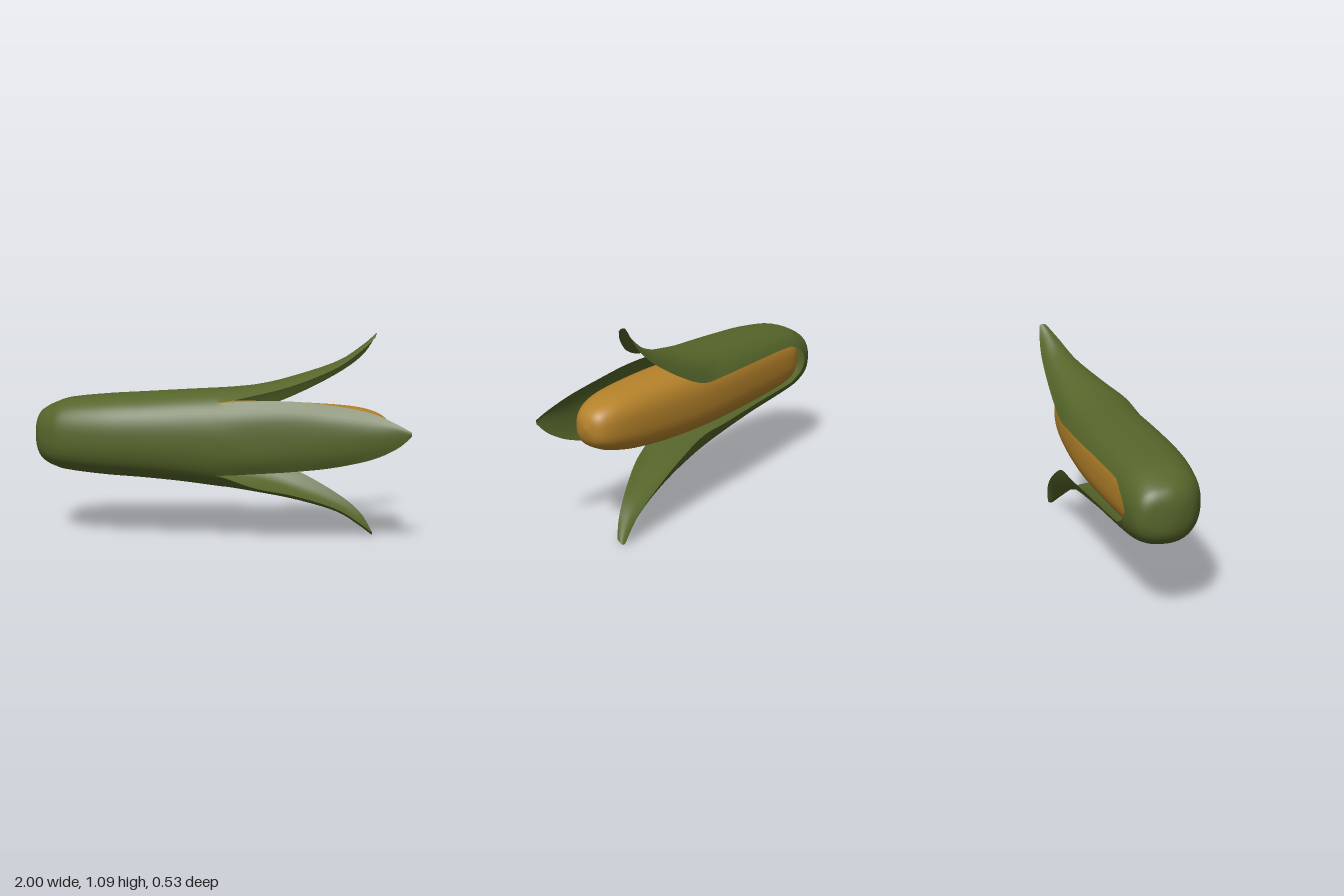
import * as THREE from 'three';
import { mergeGeometries, mergeVertices } from 'three/addons/utils/BufferGeometryUtils.js';

// Catmull-Rom through equally long rows of numbers, u counted in rows
function spline(rows, u) {
  const last = rows.length - 1;
  const i = Math.min(Math.floor(u), last - 1), t = u - i;
  const at = (k) => rows[Math.max(0, Math.min(last, k))];
  const [a, b, c, d] = [at(i - 1), at(i), at(i + 1), at(i + 2)];
  return b.map((p, k) => p + 0.5 * t * (c[k] - a[k]
    + t * (2 * a[k] - 5 * p + 4 * c[k] - d[k] + t * (3 * (p - c[k]) + d[k] - a[k]))));
}

// Squarish oval section point at an angle in degrees (0 = front, 90 = up)
function oval(x, cy, ry, cz, rz, degrees, power) {
  const a = THREE.MathUtils.degToRad(degrees);
  const bend = (v) => Math.sign(v) * Math.pow(Math.abs(v), 2 / power);
  return [x, cy + ry * bend(Math.sin(a)), cz + rz * bend(Math.cos(a))];
}

// Surface through a grid of points
function skin(grid) {
  const n = grid[0].length, index = [];
  for (let i = 0; i < grid.length - 1; i++) {
    for (let j = 0; j < n - 1; j++) {
      const a = i * n + j, b = a + n;
      index.push(a, b, a + 1, b, b + 1, a + 1);
    }
  }
  const g = new THREE.BufferGeometry();
  g.setAttribute('position', new THREE.Float32BufferAttribute(grid.flat(2), 3));
  g.setIndex(index);
  return g;
}

function smooth(geometry) {
  const g = mergeVertices(geometry, 1e-5);
  g.computeVertexNormals();
  return g;
}

// Closed part of the husk: x, bottom, top, front z, back z
const BODY = [
  [-1, 0.55, 0.55, 0.02, 0.02],
  [-0.995, 0.48, 0.62, 0.075, -0.05],
  [-0.975, 0.435, 0.665, 0.13, -0.09],
  [-0.94, 0.405, 0.695, 0.18, -0.115],
  [-0.88, 0.38, 0.725, 0.22, -0.135],
  [-0.8, 0.363, 0.75, 0.248, -0.153],
  [-0.6, 0.345, 0.772, 0.263, -0.18],
  [-0.4, 0.333, 0.785, 0.255, -0.205],
  [-0.2, 0.315, 0.798, 0.235, -0.228],
  [0, 0.29, 0.81, 0.21, -0.245],
];

// Free leaf ends: x, then five (y, z) points across
const FRONT = [
  [0.2, 0.385, 0.145, 0.46, 0.178, 0.57, 0.184, 0.68, 0.172, 0.763, 0.13],
  [0.4, 0.40, 0.125, 0.475, 0.155, 0.575, 0.162, 0.685, 0.15, 0.763, 0.11],
  [0.6, 0.425, 0.11, 0.49, 0.138, 0.585, 0.147, 0.675, 0.135, 0.745, 0.095],
  [0.8, 0.475, 0.115, 0.53, 0.132, 0.6, 0.139, 0.66, 0.128, 0.71, 0.1],
  [0.93, 0.54, 0.128, 0.575, 0.135, 0.61, 0.138, 0.64, 0.135, 0.66, 0.125],
  [1, 0.605, 0.138, 0.61, 0.139, 0.615, 0.14, 0.62, 0.139, 0.625, 0.138],
];
const UPPER = [
  [0.2, 0.79, 0.115, 0.825, 0.03, 0.828, -0.1, 0.785, -0.2, 0.69, -0.245],
  [0.4, 0.84, 0.03, 0.872, -0.04, 0.88, -0.13, 0.85, -0.21, 0.77, -0.256],
  [0.6, 0.92, -0.08, 0.945, -0.13, 0.95, -0.18, 0.93, -0.23, 0.88, -0.264],
  [0.72, 1.005, -0.15, 1.025, -0.18, 1.03, -0.21, 1.01, -0.24, 0.975, -0.264],
  [0.788, 1.07, -0.205, 1.085, -0.22, 1.09, -0.235, 1.088, -0.245, 1.08, -0.255],
];
// Lower leaf mirrors the upper one, bending back a little less
const LOWER = UPPER.map(([x, ...p]) => {
  const row = [x];
  for (let k = 8; k >= 0; k -= 2) row.push(1.095 - p[k], p[k + 1] + 0.04 * x);
  return row;
});

const SEAM_TOP = 47, SEAM_LOW = -38.5;
// Half angle of the slit along the back
const slit = (x) => (x < -0.87 ? 0 : 28 * Math.sqrt(Math.min(1, (x + 0.87) / 0.14)) - 4 * Math.max(0, x + 0.6));

// One husk strip, from the closed base to its free tip
function strip(range, leaf) {
  const across = 16, grid = [];
  const row = (b, n) => {
    const [x, y0, y1, zf, zb] = b, [from, to] = range(x);
    return Array.from({ length: n + 1 }, (_, j) => oval(x, (y0 + y1) / 2, (y1 - y0) / 2,
      (zf + zb) / 2, (zf - zb) / 2, from + (to - from) * j / n, 2.4));
  };
  const steps = (BODY.length - 1) * 5;
  for (let i = 0; i <= steps; i++) grid.push(row(spline(BODY, i / 5), across));
  const start = BODY.slice(-3).map((b) => [b[0], ...row(b, 4).flatMap((p) => [p[1], p[2]])]);
  const rows = [...start, ...leaf];
  for (let i = 1; i <= leaf.length * 6; i++) {
    const [x, ...p] = spline(rows, 2 + i / 6);
    const points = [0, 2, 4, 6, 8].map((k) => [x, p[k], p[k + 1]]);
    grid.push(Array.from({ length: across + 1 }, (_, j) => spline(points, j * 4 / across)));
  }
  return skin(grid);
}

// Cob: x, radius, centre y, centre z
const COB = [
  [-0.95, 0, 0.55, 0.04], [-0.935, 0.07, 0.55, 0.04], [-0.89, 0.12, 0.552, 0.045],
  [-0.8, 0.152, 0.555, 0.045], [-0.6, 0.172, 0.557, 0.04], [-0.3, 0.18, 0.558, 0.015],
  [0, 0.181, 0.559, -0.01], [0.3, 0.176, 0.564, -0.025], [0.55, 0.16, 0.572, -0.04],
  [0.7, 0.14, 0.58, -0.05], [0.8, 0.112, 0.583, -0.057], [0.86, 0.07, 0.585, -0.062],
  [0.882, 0, 0.586, -0.064],
];

export function createModel() {
  const green = new THREE.MeshStandardMaterial({ color: 0x55652a, side: THREE.DoubleSide });
  green.name = 'husk green';
  const gold = new THREE.MeshStandardMaterial({ color: 0xb5822a });
  gold.name = 'kernel gold';

  const model = new THREE.Group();
  model.name = 'earOfCorn';

  const husk = new THREE.Mesh(smooth(mergeGeometries([
    strip(() => [SEAM_LOW, SEAM_TOP], FRONT),
    strip((x) => [SEAM_TOP, 180 - slit(x)], UPPER),
    strip((x) => [slit(x) - 180, SEAM_LOW], LOWER),
  ])), green);
  husk.name = 'husk';

  const rings = Array.from({ length: (COB.length - 1) * 4 + 1 }, (_, i) => {
    const [x, r, cy, cz] = spline(COB, i / 4);
    return Array.from({ length: 49 }, (_, j) => oval(x, cy, r, cz, r, j * 7.5, 2.6));
  });
  const cob = new THREE.Mesh(smooth(skin(rings)), gold);
  cob.name = 'cob';

  model.add(husk, cob);
  return model;
}
